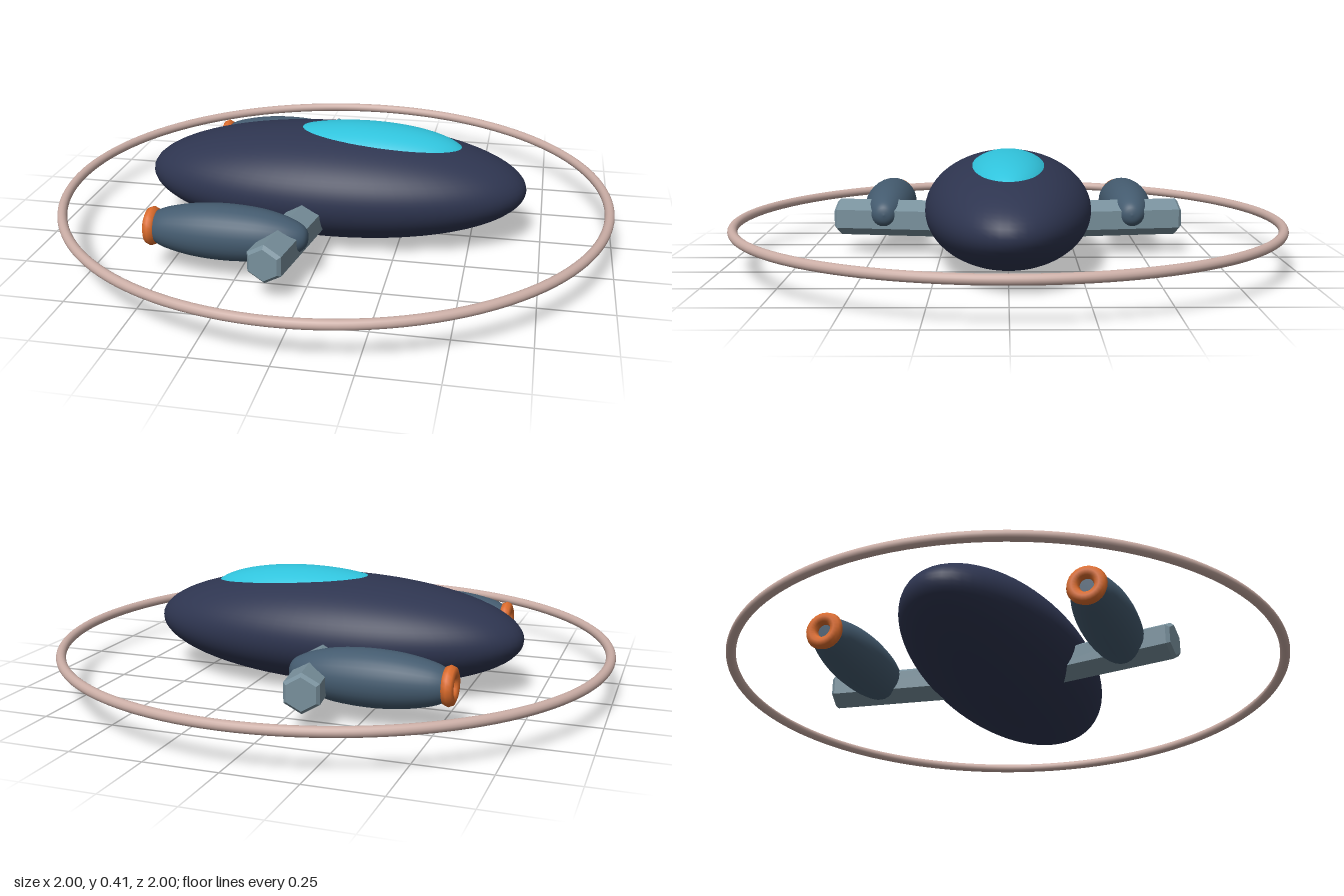
import * as THREE from 'three';

const mat = (name, color) => {
  const m = new THREE.MeshStandardMaterial({ color });
  m.name = name;
  return m;
};

export function createModel() {
  const model = new THREE.Group();
  model.name = 'ringedCraft';

  const hullNavy = mat('hull navy', 0x2e3550);
  const canopyCyan = mat('canopy cyan', 0x30c3dc);
  const strutGrey = mat('strut grey', 0x78909c);
  strutGrey.flatShading = true;
  const engineBlue = mat('engine blue', 0x445b6f);
  const nozzleOrange = mat('nozzle orange', 0xdc6c2c);
  const ringPink = mat('ring pink', 0xcbaea6);

  const add = (parent, name, geometry, material, x = 0, y = 0, z = 0) => {
    const mesh = new THREE.Mesh(geometry, material);
    mesh.name = name;
    mesh.position.set(x, y, z);
    parent.add(mesh);
    return mesh;
  };
  const ellipsoid = (rx, ry, rz) => new THREE.SphereGeometry(1, 64, 40).scale(rx, ry, rz);
  // profile points are [radius, height along the axis]
  const lathe = (points, sides) =>
    new THREE.LatheGeometry(points.map(([r, h]) => new THREE.Vector2(r, h)), sides);

  // Hull and canopy
  add(model, 'hull', ellipsoid(0.69, 0.195, 0.3), hullNavy, 0, 0.196, 0);
  add(model, 'canopy', ellipsoid(0.366, 0.1, 0.155), canopyCyan, 0.109, 0.31, 0);

  // Surrounding ring
  add(model, 'outerRing', new THREE.TorusGeometry(0.983, 0.017, 16, 128).rotateX(Math.PI / 2),
    ringPink, 0, 0.14, 0);

  // Hexagonal strut with bevelled ends, running outward along +z
  const strutGeo = lathe([[0, 0], [0.056, 0], [0.068, 0.012], [0.068, 0.488], [0.056, 0.5], [0, 0.5]], 6)
    .rotateX(Math.PI / 2);

  // Spindle engine pod pointing along +x, with a blunt tail
  const podCurve = new THREE.SplineCurve([
    [0.048, -0.54], [0.07, -0.49], [0.09, -0.39], [0.096, -0.28], [0.089, -0.17],
    [0.072, -0.09], [0.05, -0.035], [0.028, -0.01], [0, -0.003],
  ].map(([r, h]) => new THREE.Vector2(r, h)));
  const podPoints = podCurve.getPoints(32).map((p) => [Math.max(p.x, 0), p.y]);
  const podGeo = lathe(podPoints, 32).rotateZ(-Math.PI / 2);
  const tailGeo = new THREE.CircleGeometry(0.049, 32).rotateY(-Math.PI / 2);
  const nozzleGeo = new THREE.TorusGeometry(0.045, 0.022, 8, 24).rotateY(Math.PI / 2);

  for (const side of [1, -1]) {
    const wing = new THREE.Group();
    wing.name = side > 0 ? 'frontEngine' : 'backEngine';
    model.add(wing);

    const strut = add(wing, 'strut', strutGeo, strutGrey, -0.037, 0.137, side * 0.145);
    strut.rotation.y = side > 0 ? -0.15 : Math.PI + 0.15;

    add(wing, 'enginePod', podGeo, engineBlue, 0, 0.157, side * 0.457);
    add(wing, 'podTail', tailGeo, engineBlue, -0.54, 0.157, side * 0.457);
    add(wing, 'nozzle', nozzleGeo, nozzleOrange, -0.542, 0.157, side * 0.457);
  }
  return model;
}
